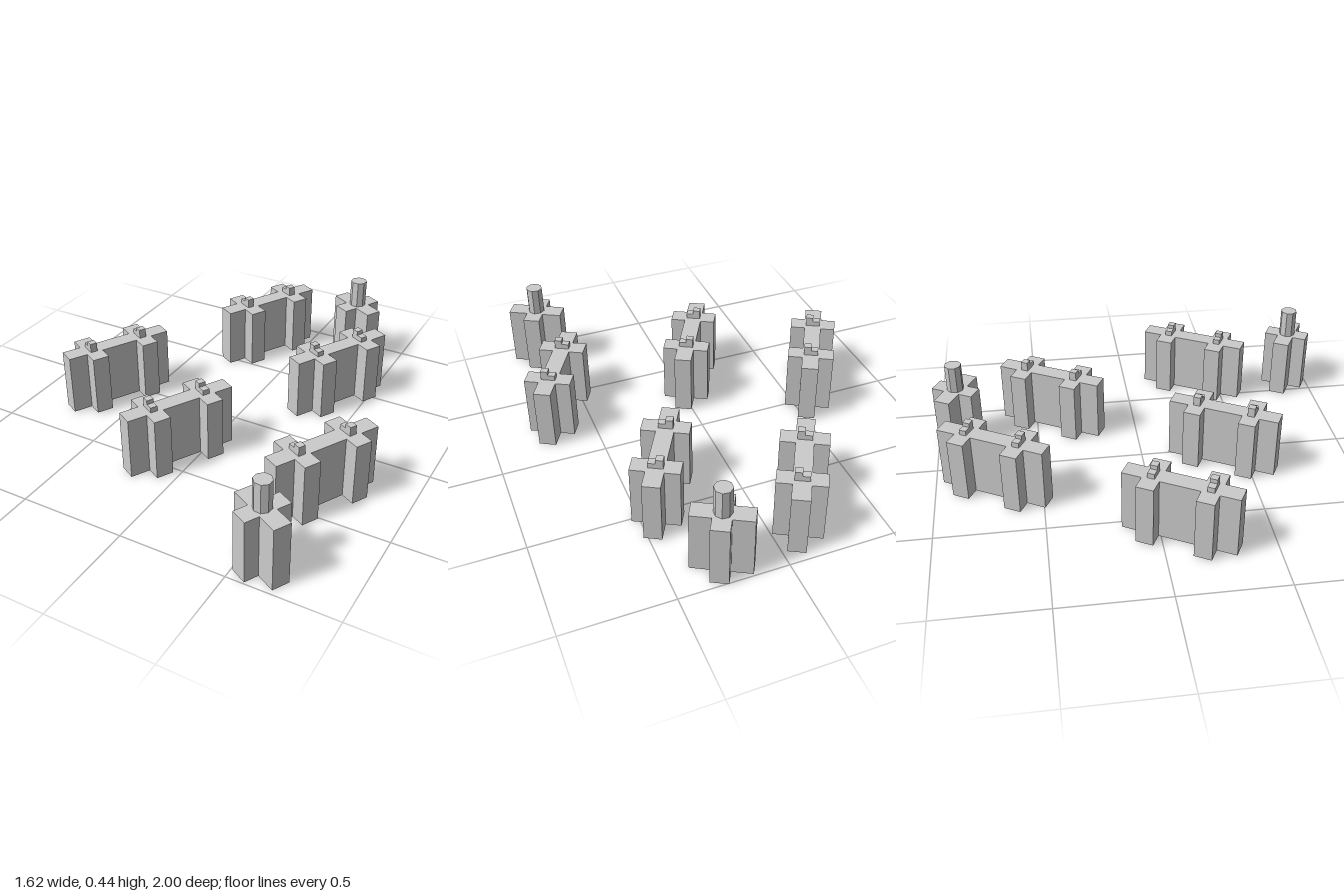
import * as THREE from 'three';

const material = new THREE.MeshStandardMaterial({ color: 0xcccccc, flatShading: true });
const ANGLE = -0.503; // shared heading of every piece
const HEIGHT = 0.3;
const T = 0.041; // half thickness of walls and cross arms
const ARM = 0.111; // half length of the wall cross arms

function addMesh(parent, name, geometry, x = 0, y = 0, z = 0) {
  const mesh = new THREE.Mesh(geometry, material);
  mesh.name = name;
  mesh.position.set(x, y, z);
  parent.add(mesh);
}

// Upright prism from a half outline (the +x side), mirrored to the other side
function mirroredPrism(half) {
  const other = half.map(([x, z]) => [-x, z]).reverse();
  const shape = new THREE.Shape([...half, ...other].map(([x, z]) => new THREE.Vector2(x, z)));
  return new THREE.ExtrudeGeometry(shape, { depth: HEIGHT, bevelEnabled: false }).rotateX(-Math.PI / 2);
}

// Long wall crossed by two arms, with a stepped peg above each crossing
const END = 0.268, CROSS = 0.134;
const wallGeometry = mirroredPrism([
  [T, -END], [T, -CROSS - T], [ARM, -CROSS - T], [ARM, -CROSS + T], [T, -CROSS + T],
  [T, CROSS - T], [ARM, CROSS - T], [ARM, CROSS + T], [T, CROSS + T], [T, END],
]);
const highPeg = new THREE.BoxGeometry(0.034, 0.045, 0.034);
const lowPeg = new THREE.BoxGeometry(0.034, 0.025, 0.034);

function createWall(x, z, turned, y = 0) {
  const wall = new THREE.Group();
  wall.name = 'wallSegment';
  addMesh(wall, 'crossedWall', wallGeometry);
  for (const side of [-1, 1]) {
    addMesh(wall, 'highPeg', highPeg, 0.017, HEIGHT + 0.0225, side * CROSS);
    addMesh(wall, 'lowPeg', lowPeg, -0.017, HEIGHT + 0.0125, side * CROSS);
  }
  wall.position.set(x, y, z);
  wall.rotation.y = ANGLE + (turned ? Math.PI : 0);
  return wall;
}

// Single cross-shaped post carrying an octagonal stub
const postGeometry = mirroredPrism([
  [T, -0.109], [T, -T], [0.136, -T], [0.136, T], [T, T], [T, 0.109],
]);
const stubGeometry = new THREE.CylinderGeometry(0.041, 0.041, 0.135, 8);

function createPost(x, z) {
  const post = new THREE.Group();
  post.name = 'endPost';
  addMesh(post, 'crossPost', postGeometry);
  addMesh(post, 'octagonalStub', stubGeometry, 0, HEIGHT + 0.0675, 0);
  post.position.set(x, 0, z);
  post.rotation.y = ANGLE;
  return post;
}

export function createModel() {
  const model = new THREE.Group();
  model.name = 'wallAndPostLayout';
  model.add(
    createWall(-0.188, -0.711, false),
    createWall(0.354, -0.413, true),
    createWall(-0.632, 0.09, false, 0.005),
    createWall(-0.088, 0.391, true),
    createWall(0.622, 0.37, false),
    createPost(0.26, -0.889),
    createPost(0.597, 0.877),
  );
  return model;
}
